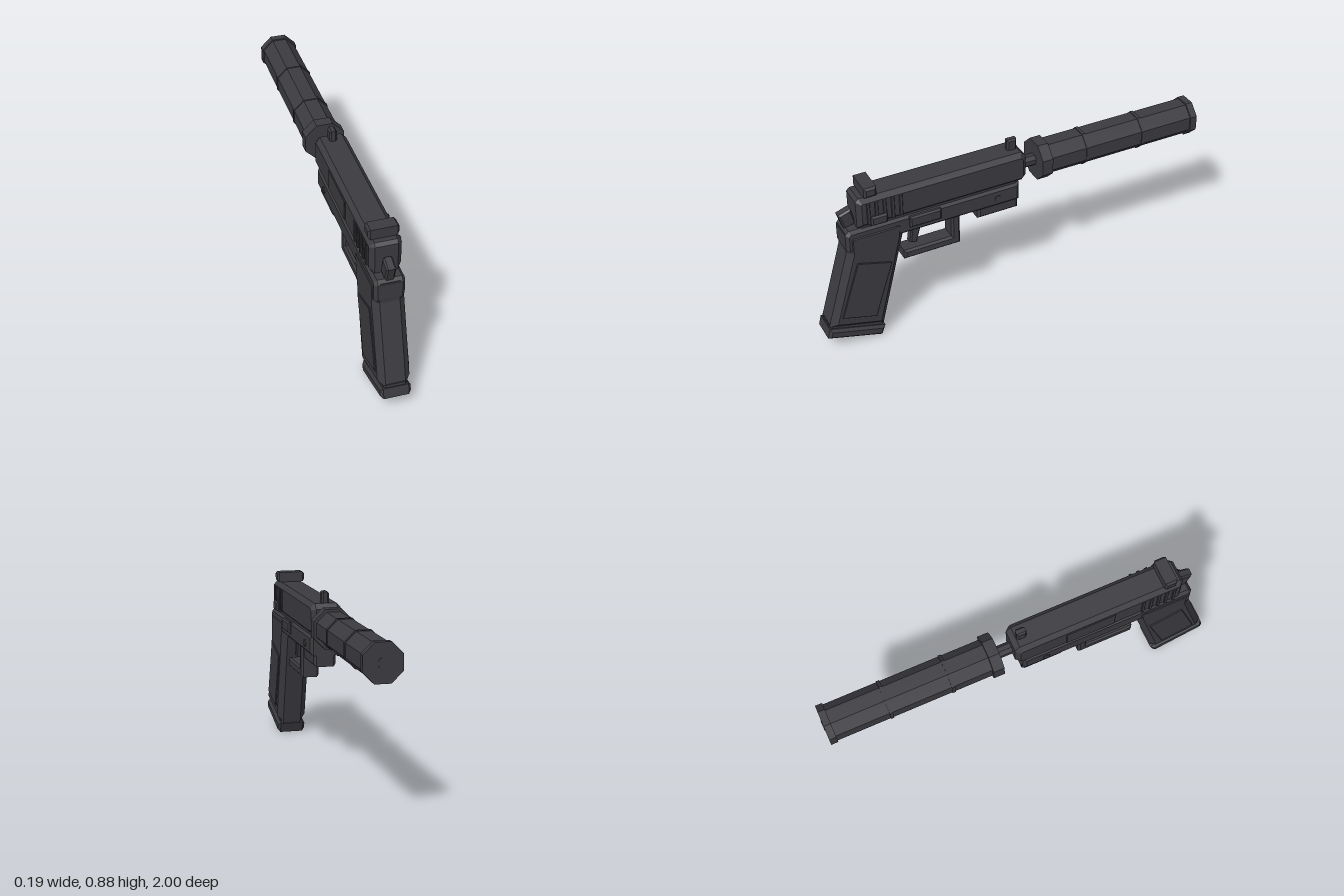
import * as THREE from 'three';

export function createModel() {
  const model = new THREE.Group();
  const metal = new THREE.MeshStandardMaterial({ color: 0x3c3b40 });
  metal.name = 'dark gunmetal';

  function add(name, geometry) {
    const flat = geometry.index ? geometry.toNonIndexed() : geometry;
    flat.computeVertexNormals();
    const mesh = new THREE.Mesh(flat, metal);
    mesh.name = name;
    model.add(mesh);
    return mesh;
  }

  // Side profile of [z, y] points, extruded from x0 to x1 with chamfered edges
  function slab(name, points, x0, x1, bevel = 0.008) {
    const shape = new THREE.Shape(points.map(([z, y]) => new THREE.Vector2(z, y)));
    const g = new THREE.ExtrudeGeometry(shape, {
      depth: x1 - x0 - 2 * bevel, bevelEnabled: bevel > 0, bevelThickness: bevel,
      bevelSize: bevel, bevelOffset: -bevel, bevelSegments: 1,
    });
    g.rotateY(-Math.PI / 2);
    g.translate(x1 - bevel, 0, 0);
    return add(name, g);
  }

  const rect = (z0, z1, y0, y1) => [[z0, y0], [z1, y0], [z1, y1], [z0, y1]];

  // Prism along z with flat sides; "half" is half its height
  function prism(name, half, z0, z1, sides = 8, y = 0.724) {
    const g = new THREE.CylinderGeometry(half / Math.cos(Math.PI / sides),
      half / Math.cos(Math.PI / sides), z1 - z0, sides);
    g.rotateY(Math.PI / sides).rotateX(Math.PI / 2).translate(0, y, (z0 + z1) / 2);
    return add(name, g);
  }

  // Slide with sights
  slab('slide', [[-0.055, 0.69], [-0.035, 0.667], [0.81, 0.667], [0.81, 0.81], [0.795, 0.825],
    [-0.03, 0.825], [-0.055, 0.8]], -0.075, 0.075, 0.022);
  slab('frontSight', rect(-0.027, 0.022, 0.815, 0.88), -0.018, 0.018);
  slab('rearSight', rect(0.708, 0.77, 0.825, 0.876), -0.072, 0.072, 0.01);
  slab('rearSightBase', rect(0.72, 0.76, 0.81, 0.835), -0.045, 0.045, 0.004);
  slab('ejectionPort', rect(0.2, 0.45, 0.695, 0.8), -0.08, -0.072, 0.002);

  // Grip ribs, panels and pins on both sides
  for (const s of [-1, 1]) {
    const side = (name, points, inner, outer, bevel) =>
      slab(name, points, Math.min(s * inner, s * outer), Math.max(s * inner, s * outer), bevel);
    for (let i = 0; i < 5; i++) {
      const z = 0.59 + i * 0.04;
      side('slideRib', rect(z, z + 0.016, 0.685, 0.803), 0.07, 0.081, 0.002);
    }
    side('gripPanel', [[0.83, 0.485], [0.66, 0.436], [0.755, 0.142], [0.925, 0.19]], 0.073, 0.082, 0.002);
    for (const z of [0.1, 0.62]) {
      const pin = new THREE.CylinderGeometry(0.018, 0.018, 0.01, 10);
      pin.rotateZ(Math.PI / 2).translate(s * 0.071, 0.61, z);
      add('framePin', pin);
    }
  }

  // Frame and rail
  slab('frame', [[-0.017, 0.565], [0.6, 0.565], [0.86, 0.54], [0.872, 0.56], [0.872, 0.645],
    [0.855, 0.665], [-0.017, 0.665]], -0.072, 0.072, 0.015);
  slab('slideBed', rect(0, 0.79, 0.645, 0.68), -0.06, 0.06, 0);
  slab('accessoryRail', rect(-0.017, 0.198, 0.51, 0.575), -0.055, 0.055, 0.012);
  for (let i = 0; i < 3; i++) {
    slab('railStud', rect(0.03 + i * 0.06, 0.045 + i * 0.06, 0.507, 0.515), -0.012, 0.012, 0);
  }

  // Controls
  slab('slideCatch', rect(0.4, 0.56, 0.602, 0.66), 0.06, 0.087);
  slab('safetyLever', rect(0.668, 0.75, 0.675, 0.725), 0.06, 0.089);
  slab('hammer', [[0.885, 0.735], [0.822, 0.757], [0.8, 0.67], [0.86, 0.655]], -0.023, 0.023);
  slab('trigger', [[0.525, 0.575], [0.49, 0.575], [0.48, 0.55], [0.505, 0.457], [0.54, 0.465]],
    -0.022, 0.022, 0.006);

  // Trigger guard
  slab('triggerGuard', [[0.58, 0.395], [0.58, 0.443], [0.333, 0.443], [0.333, 0.575],
    [0.288, 0.575], [0.288, 0.395]], -0.045, 0.045, 0.01);

  // Grip and magazine base
  slab('grip', [[0.87, 0.65], [0.87, 0.54], [0.985, 0.135], [0.71, 0.063], [0.585, 0.565],
    [0.585, 0.65]], -0.076, 0.076, 0.029);
  slab('gripCollar', [[0.985, 0.15], [0.98, 0.11], [0.715, 0.045], [0.712, 0.085]], -0.055, 0.055, 0.01);
  slab('magazineBase', [[0.988, 0.132], [1, 0.08], [0.727, 0.002], [0.707, 0.054]], -0.073, 0.073, 0.013);

  // Barrel and suppressor
  prism('barrel', 0.028, -0.14, 0, 8);
  prism('suppressorCollar', 0.097, -0.182, -0.127);
  prism('suppressorBody', 0.083, -0.99, -0.175);
  for (const z of [-0.38, -0.69]) prism('suppressorRing', 0.087, z - 0.008, z + 0.008);
  prism('suppressorCap', 0.09, -0.997, -0.962);
  prism('muzzleDisc', 0.024, -1, -0.99, 12);

  return model;
}
